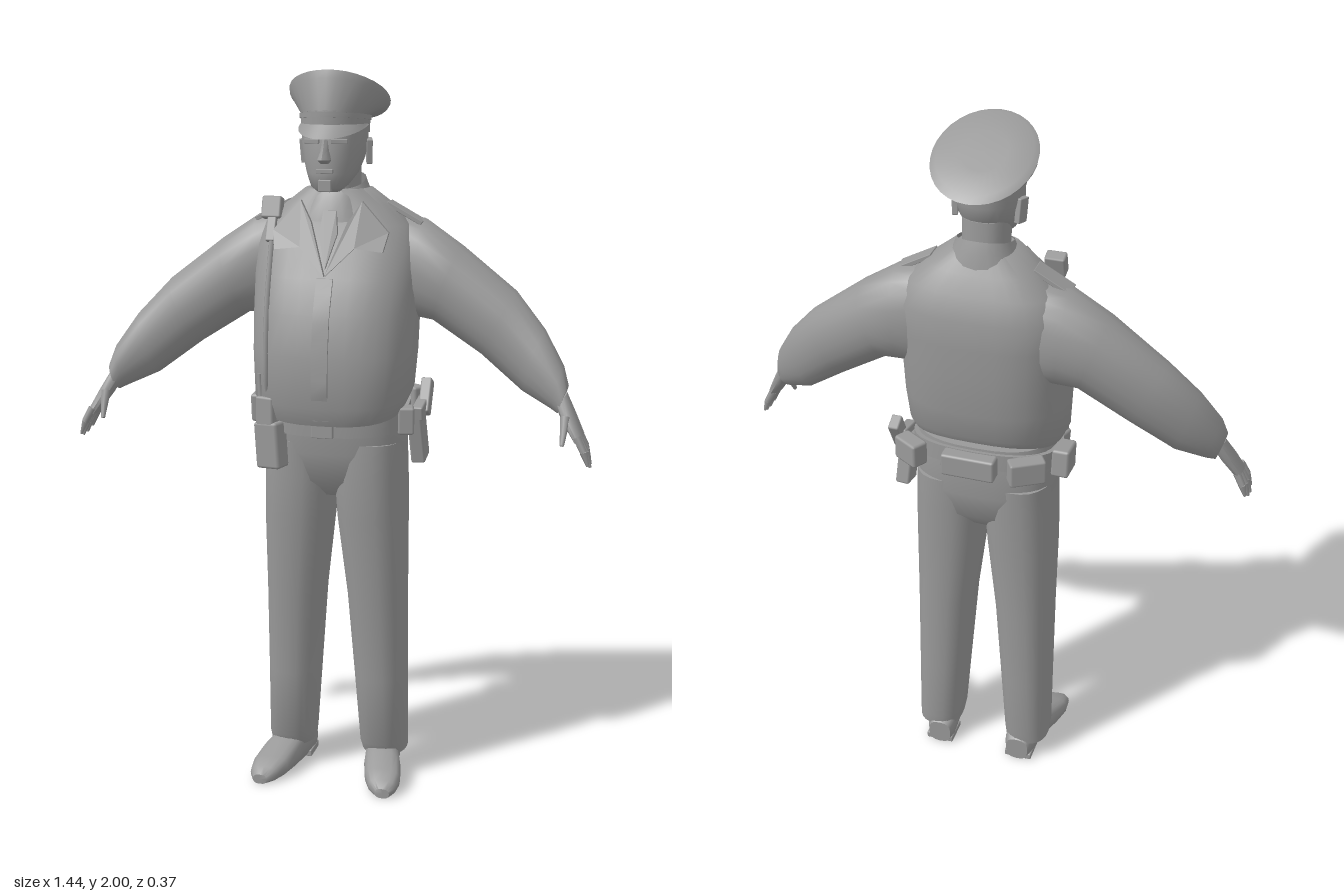
import * as THREE from 'three';
import { toCreasedNormals } from 'three/addons/utils/BufferGeometryUtils.js';
import { RoundedBoxGeometry } from 'three/addons/geometries/RoundedBoxGeometry.js';

const V = (x, y, z) => new THREE.Vector3(x, y, z);
const grey = new THREE.MeshStandardMaterial({ color: 0x999999, side: THREE.DoubleSide });
grey.name = 'plain grey';

const sup = (c, n) => Math.sign(c) * Math.abs(c) ** (2 / n);

// Skin over cross-sections { p: centre, u, v: half axes }, capped at both ends
function loft(sections, { n = 2.4, sides = 24, caps = true, crease = 0.8 } = {}) {
  const pos = [], idx = [];
  for (const { p, u, v } of sections) {
    for (let j = 0; j < sides; j++) {
      const t = (j / sides) * Math.PI * 2;
      const q = p.clone().addScaledVector(u, sup(Math.cos(t), n)).addScaledVector(v, sup(Math.sin(t), n));
      pos.push(q.x, q.y, q.z);
    }
  }
  const last = sections.length - 1;
  for (let i = 0; i < last; i++) {
    for (let j = 0; j < sides; j++) {
      const k = (j + 1) % sides, a = i * sides, b = a + sides;
      idx.push(a + j, b + j, a + k, a + k, b + j, b + k);
    }
  }
  if (caps) {
    for (const [i, top] of [[0, false], [last, true]]) {
      const c = pos.length / 3, p = sections[i].p;
      pos.push(p.x, p.y, p.z);
      for (let j = 0; j < sides; j++) {
        const a = i * sides + j, b = i * sides + (j + 1) % sides;
        idx.push(...(top ? [c, b, a] : [c, a, b]));
      }
    }
  }
  const g = new THREE.BufferGeometry();
  g.setAttribute('position', new THREE.Float32BufferAttribute(pos, 3));
  g.setIndex(idx);
  return toCreasedNormals(g, crease);
}

// Upright section: height, centre x, half width, front z, back z, rise towards the front
const level = (y, cx, rx, zf, zb, tilt = 0) =>
  ({ p: V(cx, y, (zf + zb) / 2), u: V(rx, 0, 0), v: V(0, tilt, (zf - zb) / 2) });

// Tapered round limb between two points
function limb(a, b, ra, rb, sides = 8) {
  const g = new THREE.CylinderGeometry(rb, ra, a.distanceTo(b), sides);
  g.applyQuaternion(new THREE.Quaternion().setFromUnitVectors(V(0, 1, 0), b.clone().sub(a).normalize()));
  const m = a.clone().add(b).multiplyScalar(0.5);
  return g.translate(m.x, m.y, m.z);
}

function box(w, h, d, x, y, z, rx = 0, ry = 0, rz = 0) {
  const g = new RoundedBoxGeometry(w, h, d, 1, Math.min(w, h, d) * 0.15);
  return g.rotateX(rx).rotateY(ry).rotateZ(rz).translate(x, y, z);
}

// Copy on the other side of the body, with the corner order restored
function mirrored(geo) {
  const g = (geo.index ? geo.toNonIndexed() : geo.clone()).scale(-1, 1, 1);
  for (const a of Object.values(g.attributes)) {
    for (let i = 0; i < a.count; i += 3) {
      for (let k = 0; k < a.itemSize; k++) {
        const t = a.getComponent(i + 1, k);
        a.setComponent(i + 1, k, a.getComponent(i + 2, k));
        a.setComponent(i + 2, k, t);
      }
    }
  }
  return g;
}

// Jacket outline: y, half width, front z, back z, tilt
const JACKET = [
  [1.105, 0.2, 0.165, -0.14, -0.045], [1.14, 0.217, 0.185, -0.15, -0.03], [1.25, 0.224, 0.18, -0.165, 0],
  [1.36, 0.226, 0.162, -0.172, 0], [1.45, 0.23, 0.125, -0.174, 0], [1.53, 0.23, 0.093, -0.172, 0],
  [1.59, 0.205, 0.07, -0.15, 0], [1.64, 0.15, 0.055, -0.125, 0], [1.685, 0.09, 0.045, -0.1, 0],
];
const JN = 2.7;

// Front surface of the jacket at a given x and y
function chest(x, y) {
  let i = 0;
  while (i < JACKET.length - 2 && y > JACKET[i + 1][0]) i++;
  const a = JACKET[i], b = JACKET[i + 1];
  const t = THREE.MathUtils.clamp((y - a[0]) / (b[0] - a[0]), 0, 1);
  const [rx, zf, zb] = [1, 2, 3].map(k => a[k] + (b[k] - a[k]) * t);
  const f = Math.max(0, 1 - Math.min(1, Math.abs(x) / rx) ** JN) ** (1 / JN);
  return (zf + zb) / 2 + (zf - zb) / 2 * f;
}

// Lay a thin geometry over the chest
function drape(g, off = 0) {
  const p = g.attributes.position;
  for (let i = 0; i < p.count; i++) p.setZ(i, p.getZ(i) + off + chest(p.getX(i), p.getY(i)));
  g.computeVertexNormals();
  return g;
}

function plate(points, depth = 0.012) {
  const s = new THREE.Shape(points.map(([x, y]) => new THREE.Vector2(x, y)));
  return drape(new THREE.ExtrudeGeometry(s, { depth, bevelEnabled: false }), 0.004);
}

export function createModel() {
  const root = new THREE.Group();
  root.name = 'uniformedOfficer';
  const add = (name, geo) => {
    const m = new THREE.Mesh(geo, grey);
    m.name = name;
    root.add(m);
  };
  const pair = (name, geo) => {
    add('left' + name, geo);
    add('right' + name, mirrored(geo));
  };

  // Jacket with front flap, lapels and collar
  add('jacket', loft(JACKET.map(([y, rx, zf, zb, t]) => level(y, 0, rx, zf, zb, t)), { n: JN, sides: 32 }));
  add('jacketFlap', drape(new THREE.BoxGeometry(0.045, 0.38, 0.012, 1, 10, 1).translate(0, 1.265, 0)));
  pair('Lapel', plate([[0, 1.46], [0.075, 1.535], [0.15, 1.525], [0.16, 1.575], [0.085, 1.655], [0.05, 1.6]]));
  add('tie', plate([[0, 1.48], [0.025, 1.57], [0.018, 1.63], [-0.018, 1.63], [-0.025, 1.57]], 0.01));
  add('collar', loft([level(1.62, 0, 0.115, 0.075, -0.12, -0.02), level(1.675, 0, 0.083, 0.06, -0.108, -0.02),
    level(1.705, 0, 0.072, 0.045, -0.098, -0.02)], { caps: false }));
  pair('Epaulette', box(0.11, 0.012, 0.055, 0.185, 1.62, -0.035, 0, 0, -0.5));

  // Sleeves: top x y, bottom x y, centre z, half depth
  const sleeve = [
    [0.15, 1.62, 0.16, 1.33, -0.055, 0.08], [0.235, 1.605, 0.215, 1.335, -0.052, 0.098],
    [0.34, 1.535, 0.265, 1.33, -0.042, 0.094], [0.49, 1.42, 0.4, 1.245, -0.03, 0.078],
    [0.575, 1.325, 0.52, 1.155, 0.005, 0.062], [0.632, 1.235, 0.6, 1.12, 0.04, 0.047],
    [0.648, 1.185, 0.622, 1.11, 0.055, 0.036],
  ].map(([ax, ay, bx, by, z, r]) =>
    ({ p: V((ax + bx) / 2, (ay + by) / 2, z), u: V((bx - ax) / 2, (by - ay) / 2, 0), v: V(0, 0, r) }));
  pair('Sleeve', loft(sleeve, { n: 2.1, sides: 20 }));

  // Hands
  const palm = [[0.628, 1.155, 0.056, 0.02, 0.028], [0.655, 1.105, 0.075, 0.019, 0.037], [0.685, 1.055, 0.092, 0.014, 0.038]]
    .map(([x, y, z, t, w]) => ({ p: V(x, y, z), u: V(-t * 0.86, -t * 0.5, 0), v: V(0, -w * 0.15, w) }));
  pair('Palm', loft(palm, { sides: 12 }));
  for (let i = 0; i < 4; i++) {
    const z = 0.064 + i * 0.019, len = [0.8, 0.95, 1, 0.9][i];
    const a = V(0.682, 1.062, z), mid = V(0.682 + 0.022 * len, 1.062 - 0.042 * len, z + (i - 1) * 0.004);
    pair('Finger' + (i + 1), limb(a, mid, 0.011, 0.01, 6));
    pair('Fingertip' + (i + 1), limb(mid, V(0.682 + 0.036 * len, 1.062 - 0.082 * len, z + (i - 1) * 0.005), 0.01, 0.004, 6));
  }
  pair('Thumb', limb(V(0.648, 1.11, 0.1), V(0.645, 1.04, 0.135), 0.014, 0.006, 6));

  // Trousers
  add('trouserSeat', loft([level(0.84, 0, 0.15, 0.06, -0.08), level(0.89, 0, 0.19, 0.108, -0.122),
    level(0.97, 0, 0.198, 0.124, -0.138), level(1.06, 0, 0.198, 0.135, -0.138), level(1.13, 0, 0.19, 0.135, -0.135)],
  { n: 2.6, sides: 32 }));
  pair('TrouserLeg', loft([level(0.065, 0.138, 0.064, 0.035, -0.108), level(0.1, 0.136, 0.067, 0.056, -0.113),
    level(0.3, 0.128, 0.074, 0.07, -0.115), level(0.55, 0.118, 0.083, 0.09, -0.118),
    level(0.78, 0.105, 0.097, 0.113, -0.123), level(0.9, 0.1, 0.1, 0.12, -0.13), level(1, 0.098, 0.098, 0.12, -0.132)]));

  // Shoes: z, centre x, half width, height
  const shoe = [[-0.112, 0.124, 0.034, 0.075], [-0.09, 0.125, 0.043, 0.095], [-0.01, 0.135, 0.048, 0.105],
    [0.06, 0.152, 0.054, 0.085], [0.12, 0.166, 0.052, 0.06], [0.16, 0.174, 0.04, 0.045], [0.182, 0.18, 0.02, 0.028]]
    .map(([z, x, w, h]) => ({ p: V(x, h / 2, z), u: V(0, h / 2, 0), v: V(w, 0, 0) }));
  pair('Shoe', loft(shoe, { n: 2.8, sides: 16 }));
  pair('ShoeHeel', box(0.082, 0.02, 0.08, 0.126, 0.011, -0.068));

  // Belt and gear
  add('belt', loft([level(1.05, 0, 0.206, 0.148, -0.147, -0.025), level(1.1, 0, 0.206, 0.15, -0.147, -0.025)],
    { n: 2.6, sides: 32 }));
  add('beltBuckle', box(0.06, 0.05, 0.015, 0, 1.05, 0.152));
  add('backPouch', box(0.15, 0.065, 0.045, 0.005, 1.09, -0.16));
  add('radioPouch', box(0.075, 0.13, 0.055, -0.15, 0.995, 0.135, 0, -0.3, 0.06));
  add('radioBody', box(0.055, 0.09, 0.04, -0.158, 1.085, 0.14, 0, -0.3, 0));
  add('radioAerial', limb(V(-0.178, 1.11, 0.135), V(-0.182, 1.19, 0.135), 0.008, 0.006, 6));
  add('sidePouchRight', box(0.05, 0.08, 0.085, -0.22, 1.07, -0.02, 0.1));
  add('rearPouchRight', box(0.1, 0.07, 0.045, -0.15, 1.09, -0.14, 0, 0.55));
  add('holster', box(0.04, 0.15, 0.07, 0.223, 1.005, -0.045, 0.2, 0, 0.06));
  add('pistolGrip', box(0.03, 0.1, 0.045, 0.237, 1.105, -0.08, -0.5));
  add('pistolSlide', box(0.03, 0.04, 0.09, 0.23, 1.08, -0.04, 0.2));
  add('sidePouchLeft', box(0.045, 0.075, 0.06, 0.207, 1.065, 0.045, 0, 0.25));
  add('rearPouchLeft', box(0.085, 0.07, 0.05, 0.18, 1.09, -0.135, 0, -0.55));

  // Shoulder microphone and cord
  add('microphone', box(0.055, 0.06, 0.035, -0.172, 1.63, 0.03, -0.3));
  add('microphoneClip', box(0.025, 0.07, 0.02, -0.168, 1.575, 0.055, -0.4));
  const cord = [1.58, 1.5, 1.4, 1.28, 1.18, 1.1].map((y, i) => V(-0.165 + i * 0.002, y, chest(-0.165, y) + 0.007));
  add('microphoneCord', new THREE.TubeGeometry(new THREE.CatmullRomCurve3(cord), 24, 0.007, 6));

  // Head
  add('neck', loft([level(1.6, 0, 0.066, 0.05, -0.09), level(1.68, 0, 0.06, 0.046, -0.086), level(1.77, 0, 0.062, 0.06, -0.082)]));
  add('head', loft([level(1.683, 0, 0.03, 0.112, 0.05), level(1.7, 0, 0.05, 0.124, 0.01, -0.008),
    level(1.73, 0, 0.067, 0.126, -0.045), level(1.77, 0, 0.08, 0.126, -0.08), level(1.81, 0, 0.086, 0.122, -0.09),
    level(1.87, 0, 0.086, 0.115, -0.09)], { n: 2.2, crease: 1.2 }));
  add('nose', loft([level(1.758, 0, 0.012, 0.138, 0.1), level(1.768, 0, 0.019, 0.156, 0.1),
    level(1.79, 0, 0.012, 0.142, 0.1), level(1.82, 0, 0.009, 0.126, 0.1)], { n: 2, sides: 8 }));
  add('mouth', box(0.046, 0.012, 0.014, 0, 1.738, 0.123));
  add('beard', box(0.036, 0.032, 0.022, 0, 1.7, 0.116));
  pair('Brow', box(0.044, 0.012, 0.016, 0.036, 1.815, 0.112, 0, 0.25));
  pair('Ear', box(0.016, 0.065, 0.036, 0.088, 1.785, -0.008, 0.15, 0.3));

  // Peaked cap
  add('capBand', loft([level(1.835, 0, 0.09, 0.12, -0.096, 0.005), level(1.883, 0, 0.092, 0.121, -0.1, 0.012)], { n: 2 }));
  add('capTrim', loft([level(1.868, 0, 0.095, 0.125, -0.102, 0.01), level(1.88, 0, 0.095, 0.125, -0.102, 0.01)], { n: 2 }));
  add('capCrown', loft([level(1.88, 0, 0.092, 0.121, -0.1, 0.012), level(1.918, 0, 0.132, 0.108, -0.163, 0.06),
    level(1.929, 0, 0.136, 0.102, -0.173, 0.069), level(1.938, 0, 0.122, 0.088, -0.158, 0.06),
    level(1.943, 0, 0.06, 0.025, -0.095, 0.03)], { n: 2, sides: 32 }));
  const visor = new THREE.PlaneGeometry(1, 1, 20, 2), vp = visor.attributes.position;
  for (let i = 0; i < vp.count; i++) {
    const t = Math.PI * (0.5 - vp.getX(i) * 0.94), out = 0.5 - vp.getY(i), s = Math.sin(t);
    vp.setXYZ(i, Math.cos(t) * (0.091 + 0.004 * out), 1.858 - 0.036 * out * s, 0.012 + s * (0.108 + 0.037 * out));
  }
  visor.computeVertexNormals();
  add('capVisor', mirrored(mirrored(visor)));

  return root;
}
